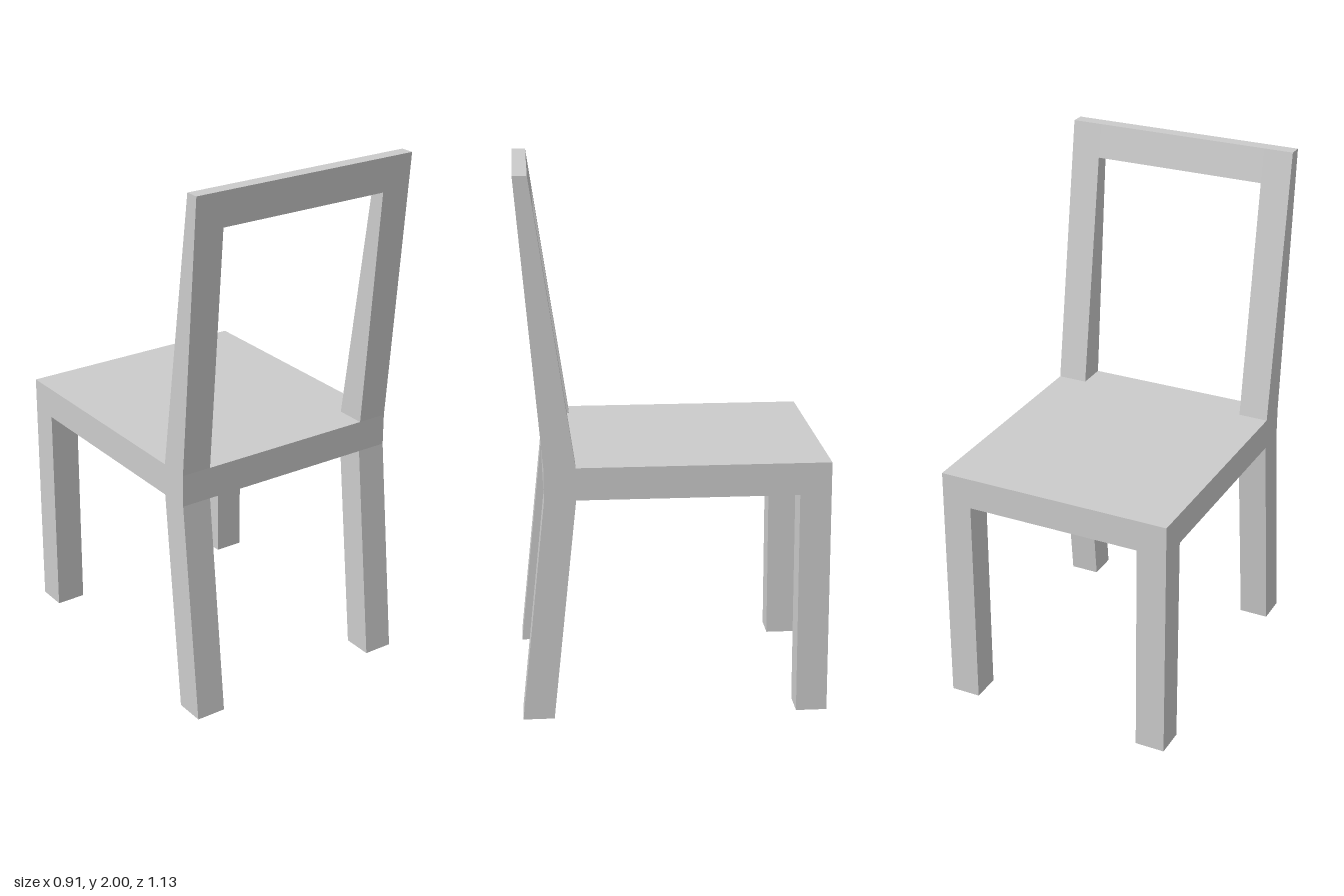
import * as THREE from 'three';

const HALF = 0.455;            // half width of the chair
const POST = 0.115;            // leg and post thickness
const SEAT_LOW = 0.84, SEAT_TOP = 0.96, TOP = 2, RAIL_LOW = 1.87;
const FRONT = -0.565, BACK = 0.475;

const material = new THREE.MeshStandardMaterial({ color: 0xcccccc, flatShading: true });

// Extrude a side profile of [z, y] corners along x, centred on x
function slab(name, profile, width, x = 0) {
  const shape = new THREE.Shape(profile.map(([z, y]) => new THREE.Vector2(z, y)));
  const geometry = new THREE.ExtrudeGeometry(shape, { depth: width, bevelEnabled: false });
  geometry.translate(0, 0, -width / 2).rotateY(-Math.PI / 2);
  const mesh = new THREE.Mesh(geometry, material);
  mesh.name = name;
  mesh.position.x = x;
  return mesh;
}

export function createModel() {
  const chair = new THREE.Group();
  chair.name = 'chair';

  // Seat board
  chair.add(slab('seat', [[FRONT, SEAT_LOW], [BACK, SEAT_LOW], [BACK, SEAT_TOP], [FRONT, SEAT_TOP]], HALF * 2));

  // Depth of the tapering, leaning backrest at height y
  const lean = (y) => {
    const t = (y - SEAT_TOP) / (TOP - SEAT_TOP);
    return [THREE.MathUtils.lerp(0.36, 0.513, t), THREE.MathUtils.lerp(BACK, 0.565, t)];
  };
  const backProfile = (low, high) => {
    const [a, b] = lean(low), [c, d] = lean(high);
    return [[a, low], [b, low], [d, high], [c, high]];
  };

  // Legs and back posts, mirrored
  for (const [side, sign] of [['left', 1], ['right', -1]]) {
    const x = sign * (HALF - POST / 2);
    chair.add(
      slab(side + 'StraightLeg', [[FRONT, 0], [FRONT + POST, 0], [FRONT + POST, SEAT_LOW], [FRONT, SEAT_LOW]], POST, x),
      slab(side + 'SplayedLeg', [[0.45, 0], [0.565, 0], [BACK, SEAT_LOW], [0.36, SEAT_LOW]], POST, x),
      slab(side + 'BackPost', backProfile(SEAT_TOP, TOP), POST, x),
    );
  }

  // Top rail between the posts
  chair.add(slab('topRail', backProfile(RAIL_LOW, TOP), 2 * (HALF - POST)));

  return chair;
}
